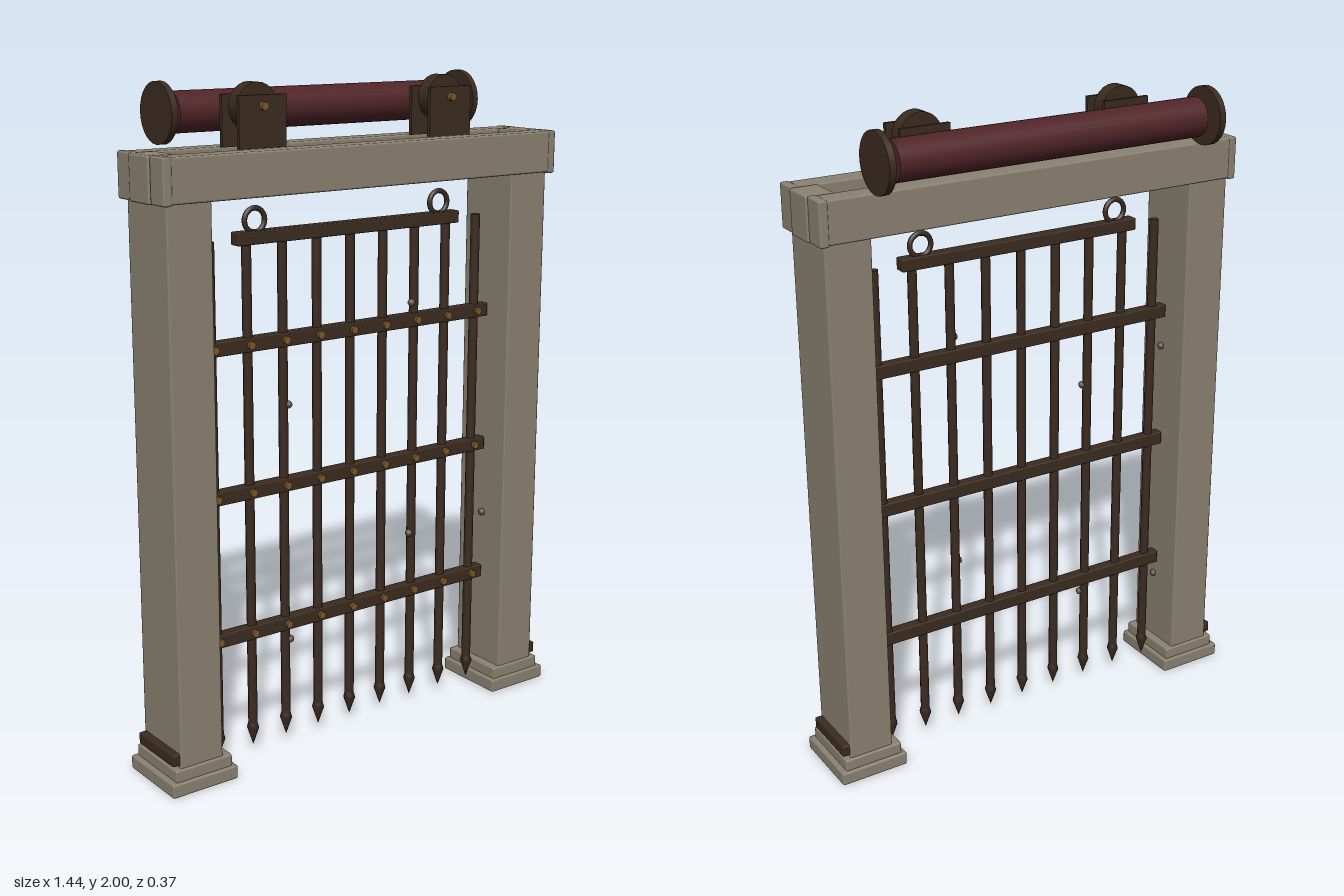
import * as THREE from 'three';
import { RoundedBoxGeometry } from 'three/addons/geometries/RoundedBoxGeometry.js';

const material = (name, color) => {
  const m = new THREE.MeshStandardMaterial({ color });
  m.name = name;
  return m;
};

export function createModel() {
  const root = new THREE.Group();
  root.name = 'castleGate';
  const stone = material('stone', 0x8b8272);
  const iron = material('dark iron', 0x3b2b20);
  const wood = material('red wood', 0x502428);
  const brass = material('rusty brass', 0x80592a);
  const steel = material('grey steel', 0x5c544c);
  const Z = 0.06; // plane of the gate

  const add = (name, geo, mat, x, y, z) => {
    const mesh = new THREE.Mesh(geo, mat);
    mesh.name = name;
    mesh.position.set(x, y, z);
    root.add(mesh);
    return mesh;
  };
  // box given by its size and centre, with softly rounded edges
  const block = (name, mat, w, h, d, x, y, z, r = 0.006) =>
    add(name, new RoundedBoxGeometry(w, h, d, 1, r), mat, x, y, z);
  // cylinder along the x or z axis
  const round = (name, mat, r, len, axis, x, y, z, sides = 24) => {
    const geo = new THREE.CylinderGeometry(r, r, len, sides);
    if (axis === 'x') geo.rotateZ(Math.PI / 2);
    else geo.rotateX(Math.PI / 2);
    return add(name, geo, mat, x, y, z);
  };

  for (const s of [-1, 1]) {
    // stone posts on stepped feet
    block('footLower', stone, 0.22, 0.042, 0.245, s * 0.608, 0.021, Z);
    block('footUpper', stone, 0.19, 0.04, 0.225, s * 0.606, 0.058, Z);
    block('post', stone, 0.142, 1.68, 0.208, s * 0.609, 0.91, Z);
    block('postStrap', iron, 0.03, 0.036, 0.195, s * 0.688, 0.103, Z, 0.004);
    block('beamEndBlock', stone, 0.085, 0.13, 0.105, s * 0.66, 1.757, Z);

    // pulley between two cheek plates
    const x = s * 0.335;
    for (const z of [-0.043, 0.043]) {
      add('pulleyCheek', new THREE.BoxGeometry(0.156, 0.145, 0.012), iron, x, 1.893, Z + z);
    }
    round('pulleyWheel', iron, 0.067, 0.045, 'z', x, 1.932, Z);
    round('pulleyAxle', brass, 0.012, 0.126, 'z', x, 1.935, Z, 8);

    // lifting rings
    add('liftingRing', new THREE.TorusGeometry(0.034, 0.008, 8, 24), iron, x, 1.618, Z);

    // flange of the winding drum
    round('drumFlange', iron, 0.087, 0.02, 'x', s * 0.54, 1.913, -0.1, 28);
  }

  // twin lintel beams with raised end bands
  for (const z of [-0.086, 0.088]) {
    block('lintelBeam', stone, 1.39, 0.125, 0.068, 0, 1.759, Z + z);
    for (const s of [-1, 1]) {
      block('beamBand', stone, 0.028, 0.13, 0.072, s * 0.684, 1.758, Z + z);
    }
  }

  // winding drum
  round('drum', wood, 0.059, 1.01, 'x', 0, 1.913, -0.102, 28);

  // upright bars with pointed tips
  const rows = [0.39, 0.828, 1.266];
  for (let i = -4; i <= 4; i++) {
    const x = i * 0.1215;
    add('uprightBar', new THREE.CylinderGeometry(0.0145, 0.0145, 1.485, 8), iron, x, 0.827, Z);
    const tip = new THREE.LatheGeometry([
      new THREE.Vector2(0, 0.022), new THREE.Vector2(0.019, 0.078),
      new THREE.Vector2(0.0145, 0.095),
    ], 8);
    add('spike', tip, iron, x, 0, Z);
    for (const y of rows) round('rivet', brass, 0.012, 0.012, 'z', x, y, Z + 0.021, 8);
  }

  // crossbars and the top rail
  for (const y of rows) block('crossbar', iron, 1.06, 0.042, 0.036, 0, y, Z, 0.004);
  block('topRail', iron, 0.806, 0.038, 0.04, 0, 1.57, Z, 0.004);

  // small studs on the bars and post faces
  const studs = [
    [0.228, 1.32], [-0.23, 1.07], [0.228, 0.58], [-0.23, 0.335],
    [-0.535, 1.14], [-0.535, 0.315], [0.535, 0.59],
  ];
  for (const [x, y] of studs) {
    add('stud', new THREE.SphereGeometry(0.012, 8, 6), steel, x, y, Z + 0.008);
  }
  return root;
}
